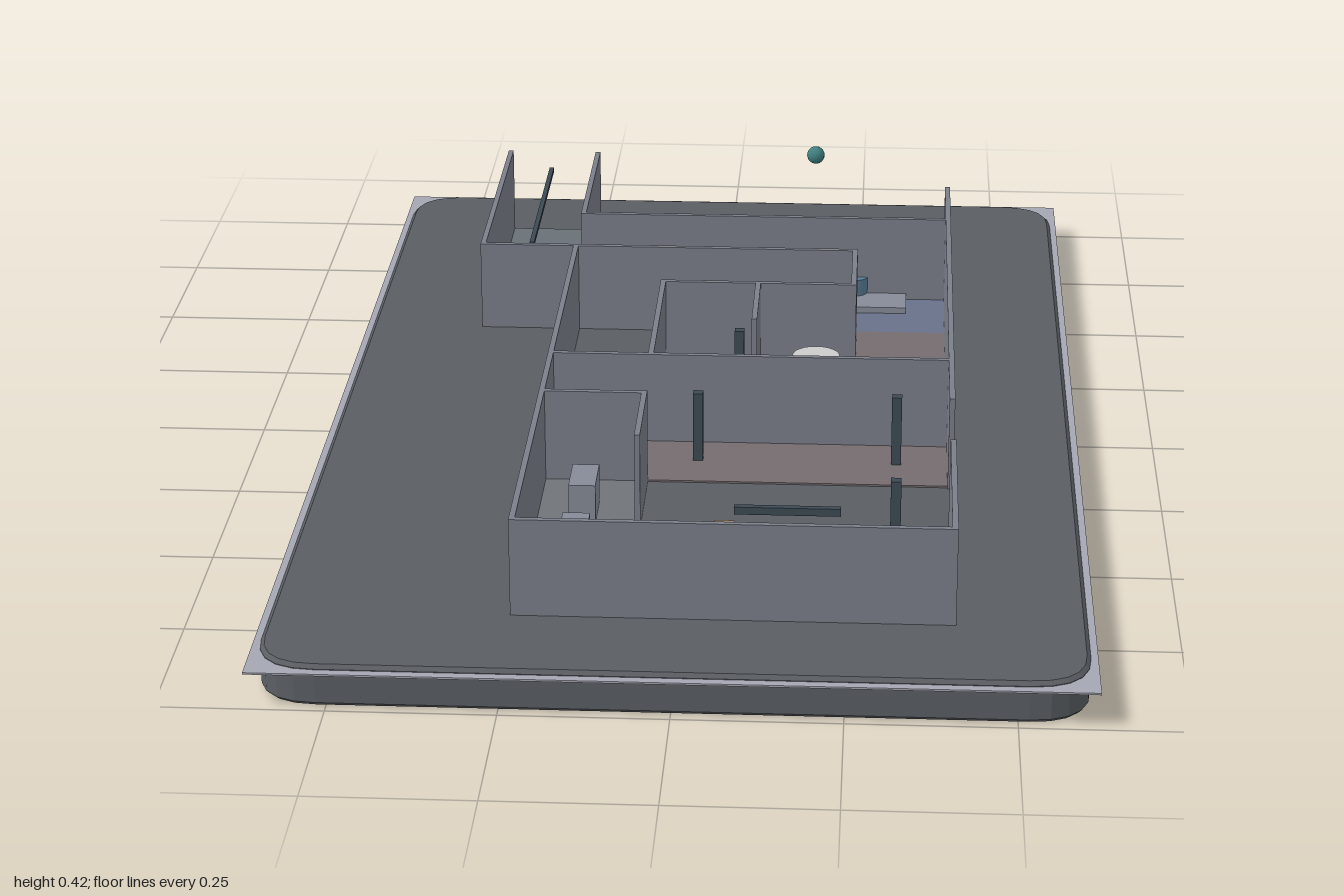
import * as THREE from 'three';

const mat = (color) => new THREE.MeshStandardMaterial({ color });
const M = {
  slab: mat(0x5a5e63), plate: mat(0xa4a6b2), wall: mat(0x7b7f8a),
  hall: mat(0x697177), lab: mat(0x69718a), main: mat(0x766c70), quarters: mat(0x70757a), hold: mat(0x82746a),
  rust: mat(0x9a6236), crate: mat(0x93806a), dark: mat(0x3c4a54), teal: mat(0x3f7f80),
  blue: mat(0x5a7f96), white: mat(0xcccccc), steel: mat(0x858b98),
};
const FLOOR = 0.066, TOP = 0.222, T = 0.009;

export function createModel() {
  const root = new THREE.Group();
  const add = (name, geo, m, x, y, z, ry = 0, parent = root) => {
    const mesh = new THREE.Mesh(geo, m);
    mesh.name = name;
    mesh.position.set(x, y, z);
    mesh.rotation.y = ry;
    parent.add(mesh);
    return mesh;
  };
  // box standing on height y
  const box = (name, m, x, y, z, w, h, d, ry = 0, parent = root) =>
    add(name, new THREE.BoxGeometry(w, h, d), m, x, y + h / 2, z, ry, parent);
  const disc = (name, m, x, y, z, r, h) =>
    add(name, new THREE.CylinderGeometry(r, r, h, 24), m, x, y + h / 2, z);

  // base slab with rounded corners and a small bevel
  const b = 0.006, hx = 0.606 - b, hz = 0.986 - b, r = 0.085;
  const s = new THREE.Shape();
  s.moveTo(-hx + r, -hz);
  s.lineTo(hx - r, -hz); s.quadraticCurveTo(hx, -hz, hx, -hz + r);
  s.lineTo(hx, hz - r); s.quadraticCurveTo(hx, hz, hx - r, hz);
  s.lineTo(-hx + r, hz); s.quadraticCurveTo(-hx, hz, -hx, hz - r);
  s.lineTo(-hx, -hz + r); s.quadraticCurveTo(-hx, -hz, -hx + r, -hz);
  const slab = new THREE.ExtrudeGeometry(s, {
    depth: FLOOR - 2 * b, bevelSize: b, bevelThickness: b, bevelSegments: 1, curveSegments: 5,
  });
  slab.rotateX(-Math.PI / 2);
  add('baseSlab', slab, M.slab, 0, b, 0);
  box('groundPlate', M.plate, 0, 0.056, 0, 1.234, 0.003, 2);

  // room floors: x0, x1, z0, z1
  const floors = new THREE.Group();
  floors.name = 'floors';
  root.add(floors);
  for (const [name, m, x0, x1, z0, z1] of [
    ['hallFloor', M.hall, -0.407, -0.244, -0.81, -0.326],
    ['crossHallFloor', M.hall, -0.244, 0.081, -0.488, -0.326],
    ['labFloor', M.lab, 0.081, 0.407, -0.652, -0.326],
    ['passageFloor', M.main, 0.244, 0.407, -0.326, -0.163],
    ['mainFloor', M.main, -0.081, 0.407, -0.163, 0.163],
    ['frontHallFloor', M.main, -0.244, 0.407, 0.163, 0.322],
    ['quartersFloor', M.quarters, -0.244, -0.081, 0.322, 0.805],
    ['holdFloor', M.hold, -0.081, 0.407, 0.488, 0.805],
  ]) box(name, m, (x0 + x1) / 2, FLOOR - 0.001, (z0 + z1) / 2, x1 - x0, 0.004, z1 - z0, 0, floors);

  // walls from (x0, z0) to (x1, z1)
  const walls = new THREE.Group();
  walls.name = 'walls';
  root.add(walls);
  for (const [x0, z0, x1, z1] of [
    [-0.407, -0.81, -0.407, -0.326], [-0.244, -0.81, -0.244, -0.488],
    [-0.244, -0.488, 0.407, -0.488], [-0.407, -0.326, 0.244, -0.326],
    [0.407, -0.652, 0.407, 0.322], [0.244, -0.326, 0.244, -0.163],
    [-0.081, -0.163, 0.244, -0.163], [-0.081, -0.163, -0.081, 0.163],
    [0.081, -0.163, 0.081, 0], [-0.244, 0.163, 0.407, 0.163],
    [-0.244, -0.326, -0.244, 0.805], [-0.244, 0.322, -0.081, 0.322],
    [-0.081, 0.322, -0.081, 0.488], [-0.244, 0.805, 0.407, 0.805],
    [0.407, 0.488, 0.407, 0.805],
  ]) box('wall', M.wall, (x0 + x1) / 2, FLOOR, (z0 + z1) / 2,
    x1 - x0 + T, TOP - FLOOR, z1 - z0 + T, 0, walls);

  // rusty strip beside the hall, and loose debris
  box('rustStrip', M.rust, -0.216, FLOOR, -0.66, 0.036, 0.01, 0.32, 0.02);
  box('rustStripEnd', M.rust, -0.235, FLOOR, -0.82, 0.065, 0.008, 0.012);
  for (const [x, z, a] of [[-0.15, -0.54, 0.3], [-0.215, -0.455, 0.1], [0.063, 0.022, 0.2], [0.13, -0.02, 0.3]])
    box('debris', M.crate, x, FLOOR, z, 0.042, 0.02, 0.03, a);

  // lab table with two tilted consoles and a round dish
  box('labTable', M.steel, 0.242, FLOOR, -0.49, 0.185, 0.014, 0.152);
  for (const k of [-1, 1])
    box('console', M.steel, 0.242 + k * 0.047, FLOOR + 0.014, -0.53, 0.042, 0.04, 0.03, k * 0.4);
  disc('labDish', M.blue, 0.242, FLOOR + 0.014, -0.49, 0.024, 0.03);

  // central pedestal
  disc('pedestalBase', M.steel, 0.185, FLOOR, 0.043, 0.077, 0.014);
  disc('pedestalColumn', M.blue, 0.185, FLOOR, 0.043, 0.03, 0.1);
  disc('pedestalTop', M.white, 0.185, 0.165, 0.043, 0.039, 0.01);

  // columns
  for (const [x, z] of [[0, 0.235], [0.32, 0.235], [0.32, 0.56], [0.295, 0.12], [0.055, -0.035]])
    box('column', M.dark, x, FLOOR, z, 0.016, 0.12, 0.016);

  // lockers in the quarters and a crate in the hold
  for (const z of [0.445, 0.625])
    box('locker', M.steel, -0.168, FLOOR, z, 0.042, 0.065, 0.08);
  box('crate', M.crate, 0.057, FLOOR, 0.572, 0.032, 0.04, 0.05);

  // overhead strips and the floating beacon
  box('hallStrip', M.dark, -0.325, 0.205, -0.555, 0.008, 0.008, 0.39);
  box('holdStrip', M.dark, 0.158, 0.185, 0.69, 0.16, 0.012, 0.01);
  add('beacon', new THREE.SphereGeometry(0.015, 16, 12), M.teal, 0.174, 0.407, -0.295);

  return root;
}
